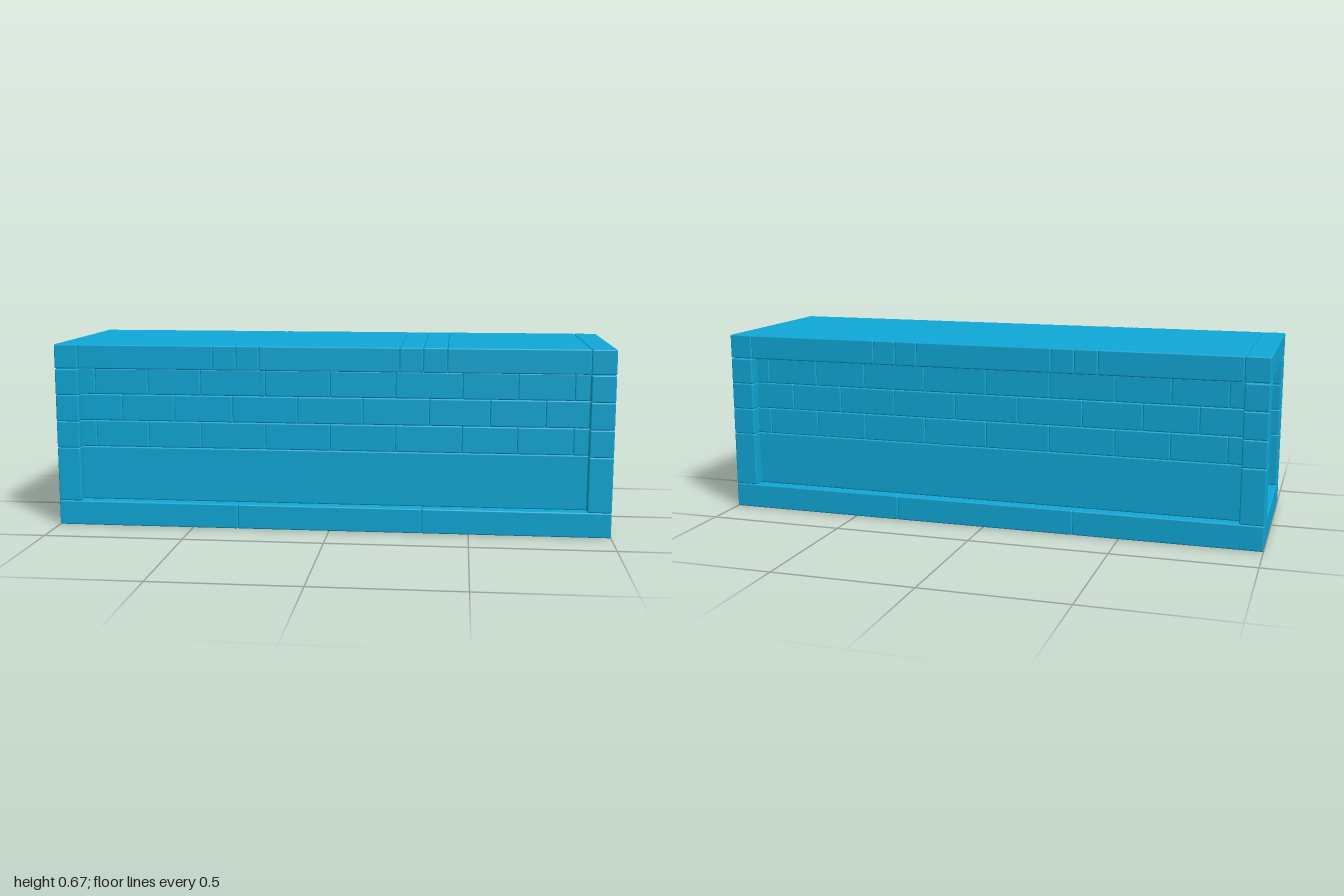
import * as THREE from 'three';
import { RoundedBoxGeometry } from 'three/addons/geometries/RoundedBoxGeometry.js';

const material = new THREE.MeshStandardMaterial({ color: 0x0fa7d6 });
const BEVEL = 0.005;

// Rounded block given by its limits along each axis
function block(parent, name, [x0, x1], [y0, y1], [z0, z1]) {
  const geometry = new RoundedBoxGeometry(x1 - x0, y1 - y0, z1 - z0, 2, BEVEL);
  const mesh = new THREE.Mesh(geometry, material);
  mesh.name = name;
  mesh.position.set((x0 + x1) / 2, (y0 + y1) / 2, (z0 + z1) / 2);
  parent.add(mesh);
}

function section(parent, name) {
  const group = new THREE.Group();
  group.name = name;
  parent.add(group);
  return group;
}

// Neighbouring pairs of a list of joints
const spans = (joints) => joints.slice(1).map((end, i) => [joints[i], end]);
// Positive joints mirrored about zero
const mirrored = (half, middle = []) => [...half.map((v) => -v).reverse(), ...middle, ...half];

export function createModel() {
  const model = new THREE.Group();
  model.name = 'brickBlock';
  const X = 1, Z = 0.333;             // outer half sizes
  const wallX = 0.961, wallZ = 0.294; // recessed wall half sizes
  const levels = [0.09, 0.288, 0.385, 0.482, 0.577];

  // Plinth of three slabs
  const base = section(model, 'base');
  for (const x of spans([-X, -0.333, 0.333, X])) block(base, 'baseSlab', x, [0, 0.09], [-Z, Z]);

  // Plain lower wall
  block(model, 'lowerWall', [-wallX, wallX], [0.09, 0.288], [-wallZ, wallZ]);

  // Three brick courses in running bond, each a hollow ring
  const wide = {
    x: mirrored([0.235, 0.472, 0.667, 0.863, wallX], [0]),
    z: mirrored([0.196], [0]),
  };
  const shifted = {
    x: mirrored([0.118, 0.355, 0.57, 0.765, wallX]),
    z: mirrored([0.098]),
  };
  [wide, shifted, wide].forEach((bond, i) => {
    const course = section(model, 'brickCourse');
    const y = [levels[i + 1], levels[i + 2]];
    const innerZ = bond.z[bond.z.length - 1];
    const innerX = bond.x[bond.x.length - 2];
    for (const x of spans(bond.x)) {
      block(course, 'frontBrick', x, y, [innerZ, wallZ]);
      block(course, 'backBrick', x, y, [-wallZ, -innerZ]);
    }
    for (const z of spans(bond.z)) {
      block(course, 'leftBrick', [innerX, wallX], y, z);
      block(course, 'rightBrick', [-wallX, -innerX], y, z);
    }
  });

  // Corner pillars, one stone per level, just short of the cap
  for (const x of [[-X, -0.915], [0.915, X]]) {
    for (const z of [[-Z, -0.235], [0.235, Z]]) {
      const pillar = section(model, 'cornerPillar');
      for (const y of spans(levels)) block(pillar, 'pillarStone', x, y, z);
    }
  }

  // Cap of flush tiles with two double bands across
  const cap = section(model, 'cap');
  for (const x of spans(mirrored([0.25, 0.333, 0.417, 0.913, X]))) {
    for (const z of spans(mirrored([0.234, Z]))) block(cap, 'capTile', x, [0.579, 0.667], z);
  }
  return model;
}
